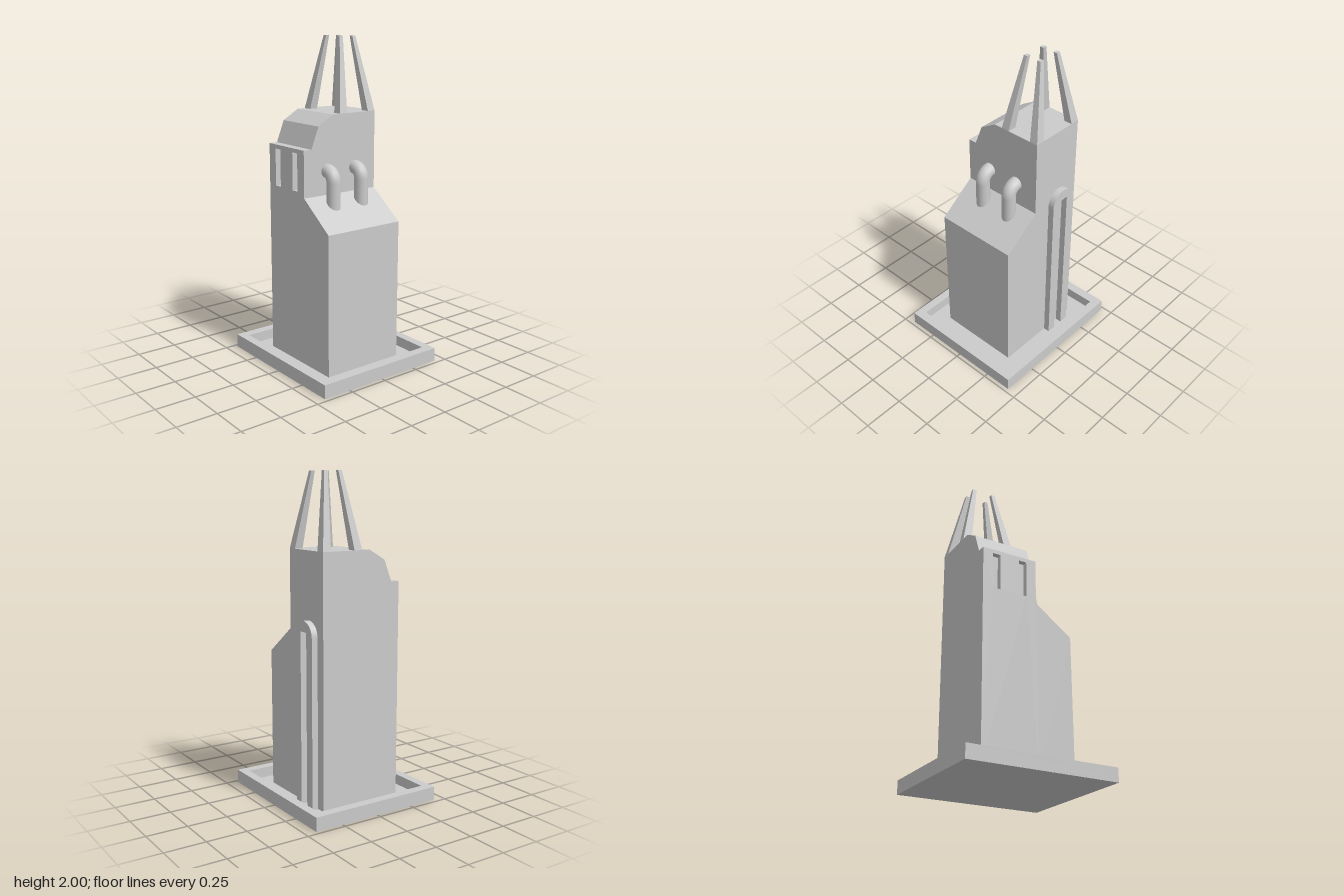
import * as THREE from 'three';

export function createModel() {
  const group = new THREE.Group();
  const flat = new THREE.MeshStandardMaterial({ color: 0xcccccc, flatShading: true });
  const smooth = new THREE.MeshStandardMaterial({ color: 0xcccccc });

  const add = (name, geometry, material = flat) => {
    const mesh = new THREE.Mesh(geometry, material);
    mesh.name = name;
    group.add(mesh);
    return mesh;
  };
  const polygon = (points) => new THREE.Shape(points.map(([x, y]) => new THREE.Vector2(x, y)));
  const rect = (x0, y0, x1, y1) => polygon([[x0, y0], [x1, y0], [x1, y1], [x0, y1]]);
  const extrude = (shape, depth) =>
    new THREE.ExtrudeGeometry(shape, { depth, bevelEnabled: false, curveSegments: 12 });

  const floorY = 0.02, rimY = 0.085;
  const left = -0.3, mid = 0.06, right = 0.297, back = -0.268, front = 0.268;
  const slotDepth = 0.035, topY = 1.55;

  // Tray base: floor plate and raised rim
  add('baseFloor', new THREE.BoxGeometry(0.95, floorY, 0.862)).position.y = floorY / 2;
  const rim = rect(-0.475, -0.431, 0.475, 0.431);
  rim.holes.push(rect(-0.416, -0.377, 0.416, 0.377));
  add('baseRim', extrude(rim, rimY - floorY).rotateX(-Math.PI / 2)).position.y = floorY;

  // Main tower: side profile (z, y) swept across x, with a chamfered shoulder
  const wallZ = front - slotDepth;
  const profile = [
    [wallZ, floorY], [wallZ, 1.355], [0.213, 1.355], [0.161, 1.487],
    [0.054, topY], [back, topY], [back, floorY],
  ].map(([z, y]) => [-z, y]);
  add('tower', extrude(polygon(profile), mid - left).rotateY(Math.PI / 2)).position.x = left;

  // Front wall with two recessed window slots
  const wall = rect(left, floorY, mid, 1.355);
  for (const x of [-0.235, -0.057]) wall.holes.push(rect(x, 1.1, x + 0.052, 1.33));
  add('frontWall', extrude(wall, slotDepth)).position.z = wallZ;

  // Lower wing with a sloping roof
  const wing = polygon([[mid, floorY], [right, floorY], [right, 0.895], [mid, 1.07]]);
  add('sideWing', extrude(wing, front - back)).position.z = back;

  // Bent pipes from the tower wall into the wing roof
  const path = new THREE.CurvePath();
  const v = (x, y) => new THREE.Vector3(x, y, 0);
  path.add(new THREE.LineCurve3(v(0.03, 1.217), v(0.065, 1.217)));
  path.add(new THREE.CubicBezierCurve3(v(0.065, 1.217), v(0.097, 1.217), v(0.123, 1.191), v(0.123, 1.158)));
  path.add(new THREE.LineCurve3(v(0.123, 1.158), v(0.123, 0.95)));
  for (const z of [-0.113, 0.098]) {
    add('pipe', new THREE.TubeGeometry(path, 28, 0.043, 16), smooth).position.z = z;
  }

  // Round-topped frame on the back wall with a tall slot
  const cx = -0.15, r = 0.09, archY = 1.055;
  const arch = new THREE.Shape();
  arch.moveTo(cx - r, floorY);
  arch.lineTo(cx - 0.033, floorY);
  arch.lineTo(cx - 0.033, 1.08);
  arch.lineTo(cx + 0.033, 1.08);
  arch.lineTo(cx + 0.033, floorY);
  arch.lineTo(cx + r, floorY);
  arch.lineTo(cx + r, archY);
  arch.absarc(cx, archY, r, 0, Math.PI, false);
  add('backFrame', extrude(arch, 0.04)).position.z = -0.307;

  // Four tapering spires leaning in over the rear of the roof
  const roofX = (left + mid) / 2, roofZ = back / 2;
  for (const sx of [-1, 1]) {
    for (const sz of [-1, 1]) {
      const geometry = new THREE.BoxGeometry(1, 1, 1);
      const p = geometry.attributes.position;
      for (let i = 0; i < p.count; i++) {
        const top = p.getY(i) > 0;
        // outer and inner distances from the roof centre
        const [ox, ix, oz, iz] = top ? [0.08, 0.055, 0.06, 0.036] : [0.18, 0.122, 0.134, 0.081];
        const outX = p.getX(i) * sx > 0, outZ = p.getZ(i) * sz > 0;
        p.setXYZ(i, roofX + sx * (outX ? ox : ix), top ? 2 : topY, roofZ + sz * (outZ ? oz : iz));
      }
      geometry.computeVertexNormals();
      add('spire', geometry);
    }
  }

  return group;
}
